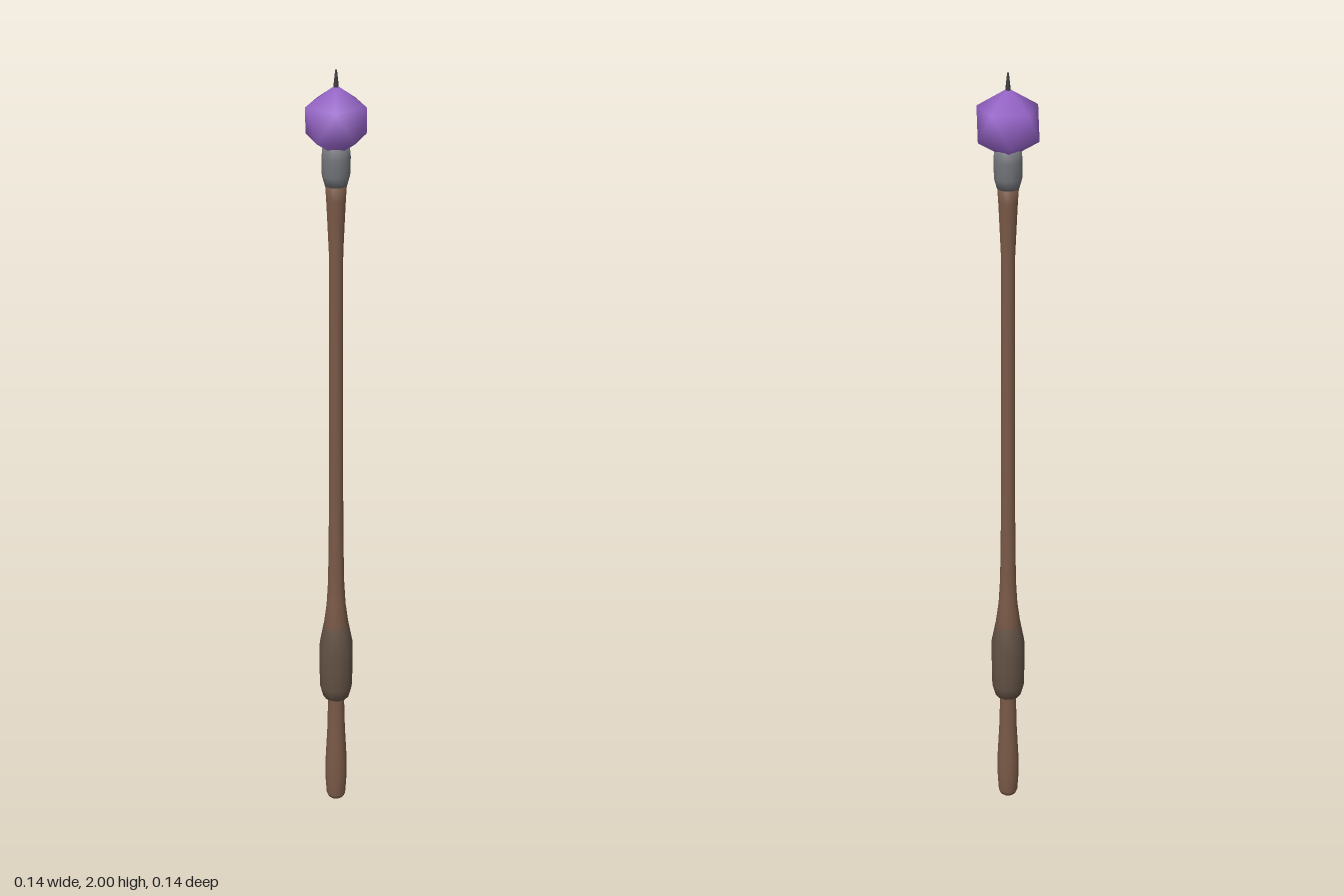
import * as THREE from 'three';
import { mergeVertices } from 'three/addons/utils/BufferGeometryUtils.js';

const SIDES = 12;

function addPart(group, name, geometry, color) {
  const mesh = new THREE.Mesh(geometry, new THREE.MeshStandardMaterial({ color }));
  mesh.name = name;
  group.add(mesh);
  return mesh;
}

// Turned part from [radius, height] pairs, bottom to top
function turned(profile) {
  return new THREE.LatheGeometry(profile.map(([r, y]) => new THREE.Vector2(r, y)), SIDES);
}

// Smooth-shaded icosahedron standing on a vertex
function gemGeometry(radius) {
  const ico = new THREE.IcosahedronGeometry(radius, 0);
  ico.deleteAttribute('normal');
  ico.deleteAttribute('uv');
  const geometry = mergeVertices(ico, 1e-5);
  geometry.rotateZ(-Math.atan(2 / (1 + Math.sqrt(5))));
  geometry.computeVertexNormals();
  return geometry;
}

export function createModel() {
  const group = new THREE.Group();
  group.name = 'staff';

  // Wooden shaft, flared at both ends
  addPart(group, 'shaft', turned([
    [0, 0], [0.022, 0], [0.026, 0.012], [0.029, 0.06], [0.029, 0.12], [0.024, 0.22],
    [0.021, 0.34], [0.024, 0.45], [0.034, 0.54], [0.025, 0.61], [0.021, 0.68],
    [0.019, 0.8], [0.018, 0.95], [0.017, 1.3], [0.017, 1.57], [0.023, 1.7],
    [0.026, 1.745], [0, 1.745],
  ]), 0x7a5a48);

  // Wrapped hand grip
  addPart(group, 'grip', turned([
    [0.02, 0.33], [0.034, 0.33], [0.043, 0.365], [0.044, 0.42], [0.044, 0.49],
    [0.033, 0.55], [0.026, 0.55],
  ]), 0x625144);

  // Metal collar holding the gem
  addPart(group, 'collar', turned([
    [0, 1.735], [0.026, 1.735], [0.033, 1.76], [0.034, 1.8], [0.031, 1.83], [0, 1.83],
  ]), 0x73757a);

  addPart(group, 'gem', gemGeometry(0.081), 0x9966cc).position.y = 1.885;

  // Thin spike on the gem
  addPart(group, 'spike', turned([
    [0.006, 1.94], [0.006, 1.965], [0.002, 2], [0, 2],
  ]), 0x3c3c40);

  return group;
}
